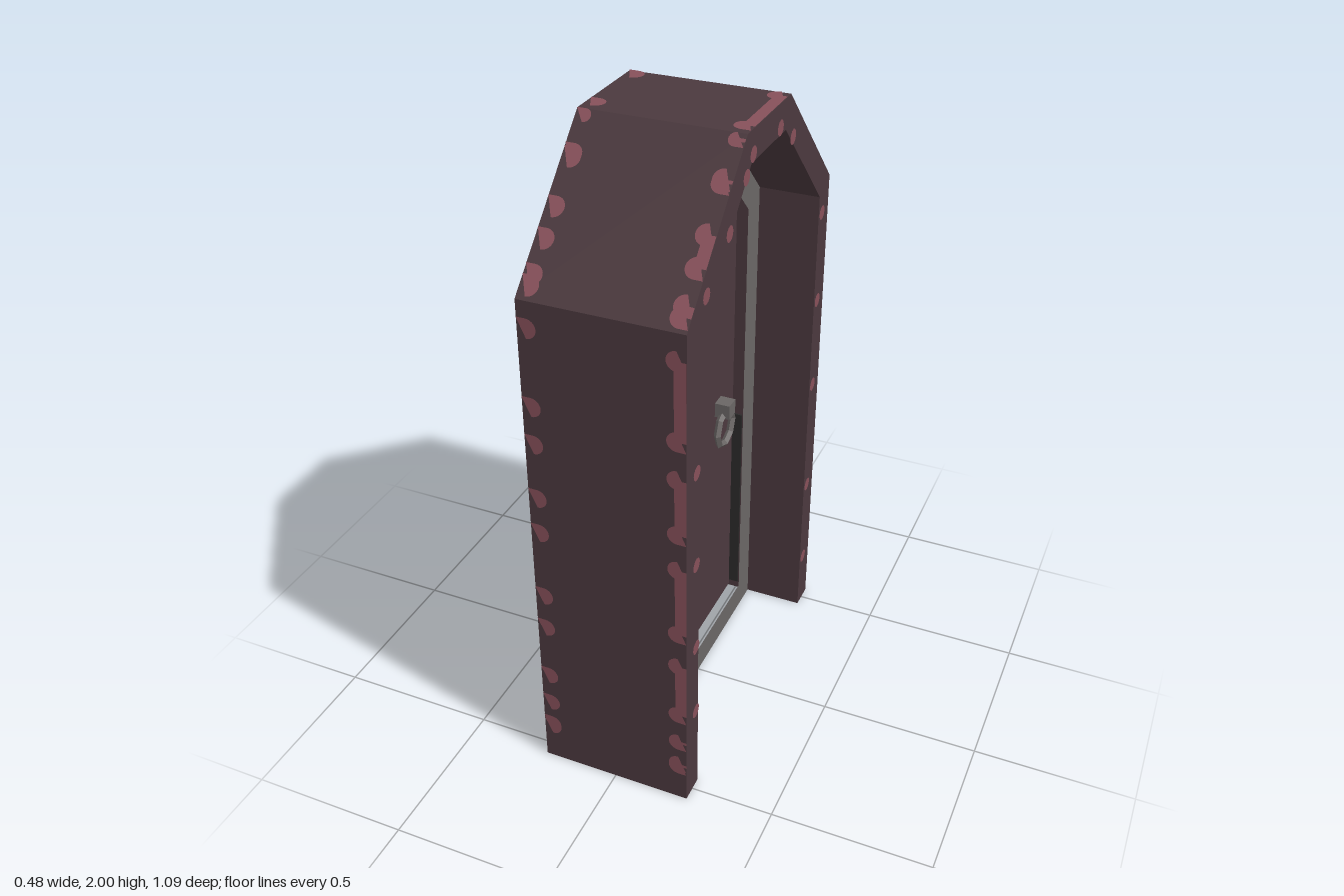
import * as THREE from 'three';
import { mergeGeometries } from 'three/addons/utils/BufferGeometryUtils.js';

const material = (name, color, side = THREE.FrontSide) => {
  const m = new THREE.MeshStandardMaterial({ color, side });
  m.name = name;
  return m;
};

// Outlines as [z, y], running from the front foot over the top to the back foot
const arch = (z, bottom, shoulder, topZ, top) =>
  [[z, bottom], [z, shoulder], [topZ, top], [-topZ, top], [-z, shoulder], [-z, bottom]];
const OUTER = arch(0.545, 0, 1.62, 0.16, 2);
const MIDDLE = arch(0.46, 0, 1.58, 0.127, 1.91);
const INNER = arch(0.367, 0.09, 1.545, 0.09, 1.82);
const HALF = 0.24;

const toVectors = (pts) => pts.map(([z, y]) => new THREE.Vector2(-z, y));

// Extrudes a [z, y] outline along x between x0 and x1
function slab(outline, x0, x1, hole) {
  const shape = new THREE.Shape(toVectors(outline));
  if (hole) shape.holes.push(new THREE.Path(toVectors(hole)));
  const g = new THREE.ExtrudeGeometry(shape, { depth: x1 - x0, bevelEnabled: false });
  return g.rotateY(Math.PI / 2).translate(x0, 0, 0);
}

// Rounded tab reaching inward from one edge of the casing
function tab(side, s, r = 0.03) {
  const shape = new THREE.Shape();
  const start = side > 0 ? Math.PI / 2 : -Math.PI / 2;
  shape.moveTo(side * HALF, s + side * r);
  shape.absarc(side * 0.213, s, r, start, start + Math.PI, false);
  shape.lineTo(side * HALF, s - side * r);
  return new THREE.ShapeGeometry(shape, 8);
}

// Tabs at both ends of each run, joined by a strip along the left edge
function trim(runs) {
  const parts = [];
  for (const [a, b] of runs) {
    const r = Math.min(0.03, (b - a) / 2);
    for (const side of [-1, 1]) {
      parts.push(tab(side, a + r, r));
      if (b - a > 2 * r + 0.01) parts.push(tab(side, b - r, r));
    }
    const strip = new THREE.PlaneGeometry(0.035, Math.max(0.01, b - a - 2 * r));
    parts.push(strip.translate(HALF - 0.0175, (a + b) / 2, 0));
  }
  return mergeGeometries(parts.map((g) => g.toNonIndexed()));
}

export function createModel() {
  const group = new THREE.Group();
  const wood = material('dark wood', 0x4b393e);
  const paint = material('faded red', 0x87505a);
  const metal = material('grey metal', 0x6a6665);
  const shade = material('dark seal', 0x2b2a2a);

  const add = (name, geometry, mat, parent = group) => {
    const mesh = new THREE.Mesh(geometry, mat);
    mesh.name = name;
    parent.add(mesh);
    return mesh;
  };

  // Casing, open at the floor
  add('casing', slab([...OUTER, ...MIDDLE.slice().reverse()], -HALF, HALF), wood);
  // Door frame and door leaf
  add('doorFrame', slab(MIDDLE, -0.13, 0.047, INNER), metal);
  add('doorLeaf', slab(INNER, -0.095, 0.01), wood);

  // Painted trim on the five outer faces of the casing
  const wall = [[0.1, 0.17], [0.2, 0.26], [0.31, 0.56], [0.62, 0.91], [0.97, 1.21], [1.27, 1.57]];
  const slope = [[0.0, 0.04], [0.1, 0.17], [0.25, 0.4], [0.44, 0.53]];
  const flip = (runs, length) => runs.map(([a, b]) => [length - b, length - a]);
  const runs = [wall, flip(slope, 0.541), [[0.02, 0.32]], slope, flip(wall, 1.62)];
  const X = new THREE.Vector3(1, 0, 0);
  runs.forEach((list, i) => {
    const [z0, y0] = OUTER[i];
    const [z1, y1] = OUTER[i + 1];
    const along = new THREE.Vector3(0, y1 - y0, z1 - z0).normalize();
    const normal = X.clone().cross(along);
    const m = new THREE.Matrix4().makeBasis(X, along, normal);
    m.setPosition(normal.clone().multiplyScalar(0.002).add(new THREE.Vector3(0, y0, z0)));
    add('outerTrim', trim(list).applyMatrix4(m), paint);
  });

  // Painted spots beside the opening, as [z, y]
  const spots = [
    [0.48, 0.31], [0.48, 0.56], [0.48, 0.86], [0.48, 1.17], [0.425, 1.67], [0.275, 1.775],
    [0.165, 1.885], [0.12, 1.932], [-0.08, 1.932], [-0.185, 1.87],
    [-0.485, 1.52], [-0.485, 1.22], [-0.485, 0.91], [-0.485, 0.51], [-0.485, 0.2],
  ];
  for (const side of [-1, 1]) {
    const dots = spots.map(([z, y]) => new THREE.CircleGeometry(0.023, 12)
      .rotateY(side * Math.PI / 2).translate(side * (HALF + 0.002), y, z));
    add('faceSpots', mergeGeometries(dots), paint);

    // Dark seals on the lower part of the frame's reveal
    const x = side > 0 ? 0.0275 : -0.1115;
    for (const end of [-1, 1]) {
      add('seal', new THREE.BoxGeometry(0.033, 0.7, 0.006).translate(x, 0.46, end * 0.364), shade);
    }

    // Knocker: mounting block with a faceted ring hanging from it
    const knocker = new THREE.Group();
    knocker.name = 'knocker';
    knocker.position.set(side > 0 ? 0.01 : -0.095, 0.91, -0.235);
    const block = add('knockerBlock', new THREE.BoxGeometry(0.05, 0.05, 0.05), metal, knocker);
    block.position.x = side * 0.025;
    const ringGeometry = new THREE.TorusGeometry(0.063, 0.012, 4, 8).toNonIndexed();
    ringGeometry.computeVertexNormals();
    const ring = add('knockerRing', ringGeometry.rotateY(Math.PI / 2), metal, knocker);
    ring.position.set(side * 0.025, -0.07, 0);
    group.add(knocker);
  }
  return group;
}
